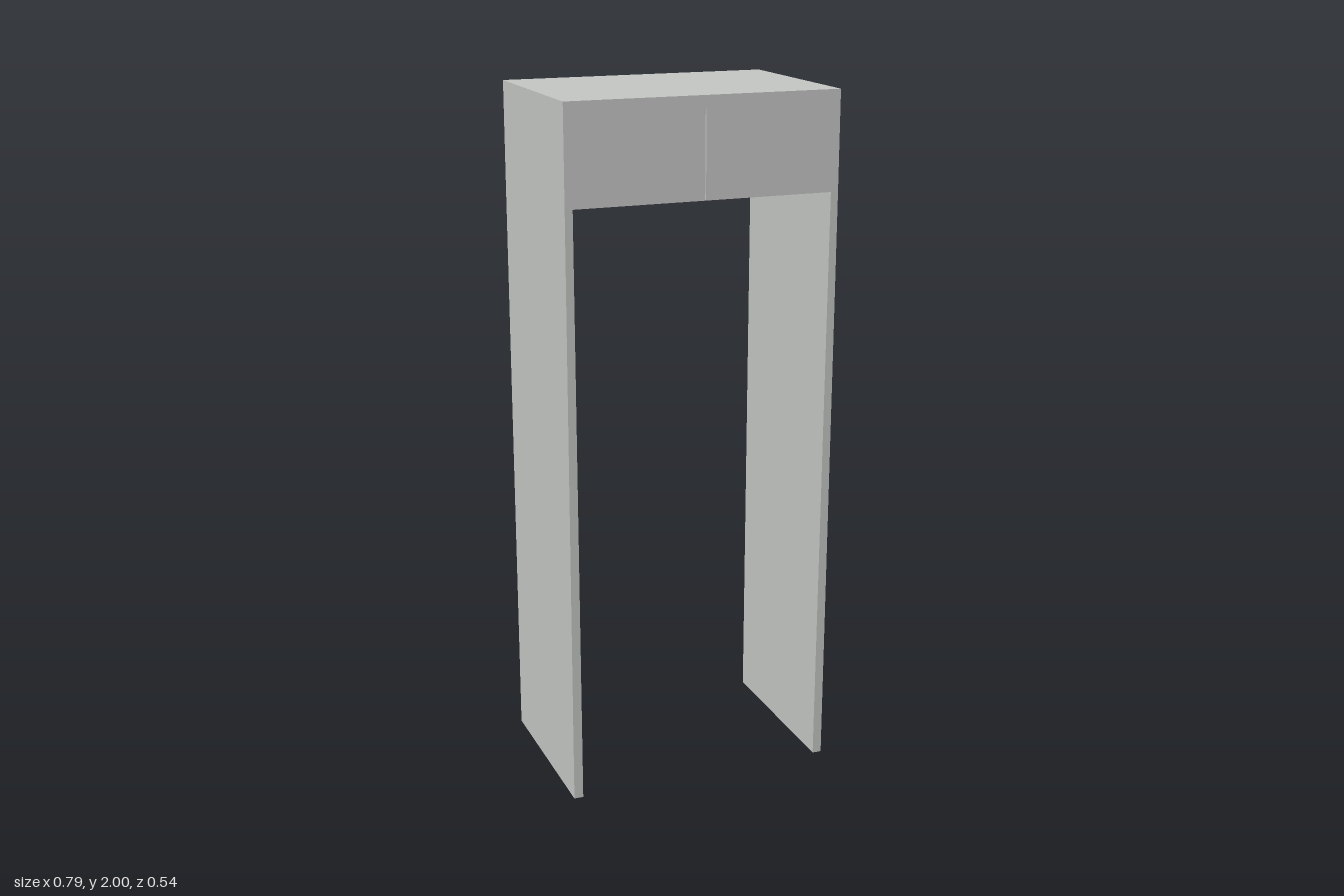
import * as THREE from 'three';

const HALF_W = 0.396, HALF_D = 0.271, TOP = 2, UNDER = 1.72;

export function createModel() {
  const group = new THREE.Group();
  const grey = new THREE.MeshStandardMaterial({ color: 0xc6c8c6 });
  grey.name = 'light grey';

  const add = (name, geometry, x = 0, y = 0, z = 0) => {
    const mesh = new THREE.Mesh(geometry, grey);
    mesh.name = name;
    mesh.position.set(x, y, z);
    group.add(mesh);
    return mesh;
  };

  // Header core between the two fascias
  const skin = 0.006;
  add('headerCore',
    new THREE.BoxGeometry(HALF_W * 2, TOP - UNDER, (HALF_D - skin) * 2),
    0, (TOP + UNDER) / 2, 0);

  // Fascia with a narrow central seam, open at its lower edge
  const seam = 0.002, seamTop = 1.965;
  const fascia = new THREE.Shape([
    [-HALF_W, UNDER], [-seam, UNDER], [-seam, seamTop], [seam, seamTop],
    [seam, UNDER], [HALF_W, UNDER], [HALF_W, TOP], [-HALF_W, TOP],
  ].map(([x, y]) => new THREE.Vector2(x, y)));
  const fasciaGeometry = new THREE.ExtrudeGeometry(fascia, { depth: skin, bevelEnabled: false });
  add('frontFascia', fasciaGeometry, 0, 0, HALF_D - skin);
  add('backFascia', fasciaGeometry, 0, 0, -HALF_D + skin).rotation.y = Math.PI;

  // Side panels, slightly narrower front to back and thicker at the foot
  for (const side of [-1, 1]) {
    const panel = new THREE.BoxGeometry(1, 1, 1);
    const p = panel.attributes.position;
    for (let i = 0; i < p.count; i++) {
      const atTop = p.getY(i) > 0;
      const outer = p.getX(i) * side > 0;
      const inner = atTop ? 0.374 : 0.369;
      p.setXYZ(i,
        side * (outer ? HALF_W : inner),
        atTop ? UNDER : 0,
        Math.sign(p.getZ(i)) * (atTop ? HALF_D : 0.264));
    }
    panel.computeVertexNormals();
    add(side > 0 ? 'leftSidePanel' : 'rightSidePanel', panel);
  }

  return group;
}
